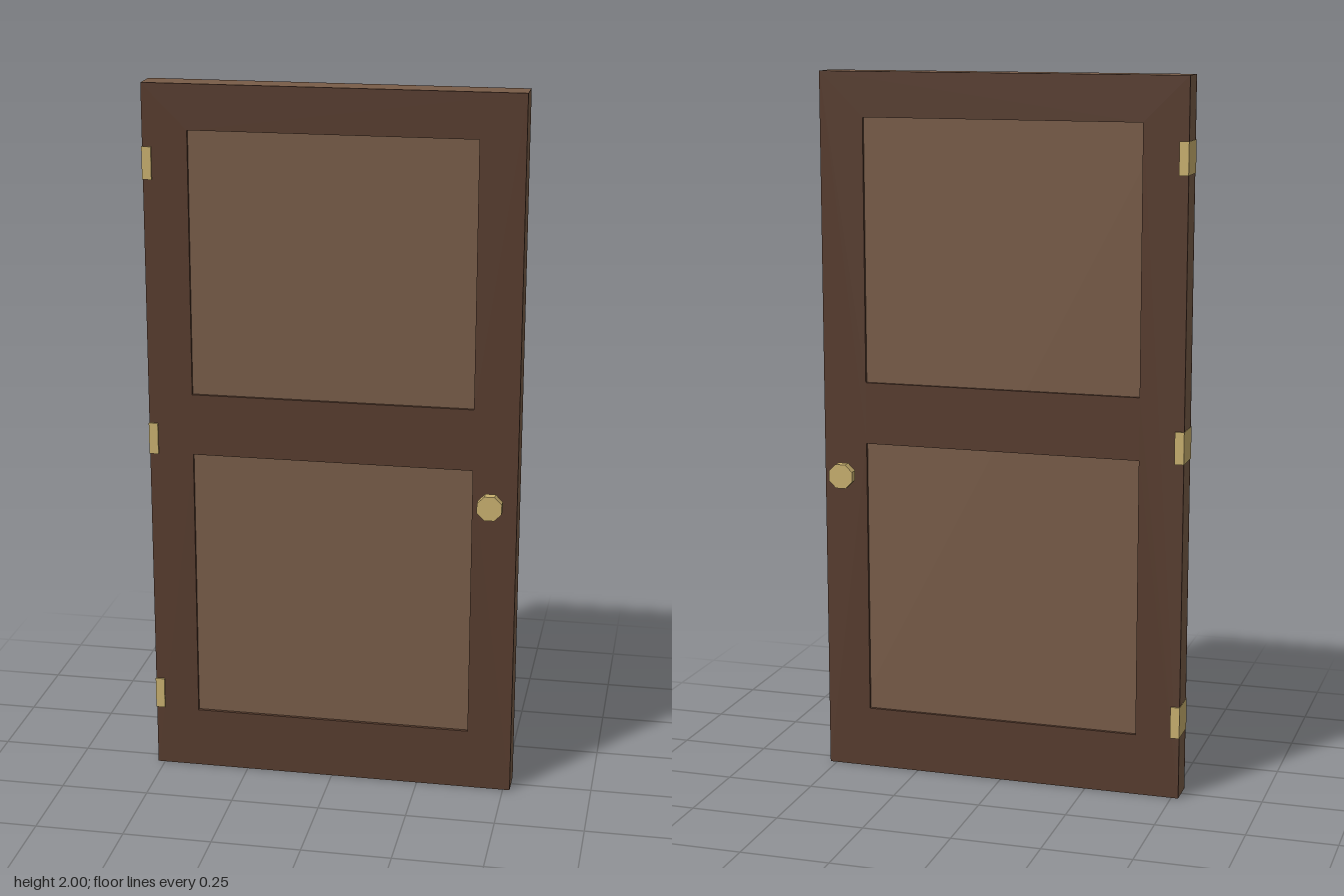
import * as THREE from 'three';

const darkWood = new THREE.MeshStandardMaterial({ name: 'dark wood', color: 0x573c2e });
const lightWood = new THREE.MeshStandardMaterial({ name: 'light wood', color: 0x785c48 });
const brass = new THREE.MeshStandardMaterial({ name: 'brass', color: 0xc9b06f, flatShading: true });

const HALF_W = 0.52, HEIGHT = 2, CORE_Z = 0.033, FACE_Z = 0.042;

// Rectangle outline from two corners
function rect(target, x0, y0, x1, y1) {
  target.moveTo(x0, y0).lineTo(x1, y0).lineTo(x1, y1).lineTo(x0, y1).closePath();
  return target;
}

function addMesh(parent, name, geometry, material, x, y, z) {
  const mesh = new THREE.Mesh(geometry, material);
  mesh.name = name;
  mesh.position.set(x, y, z);
  parent.add(mesh);
  return mesh;
}

// Eight-sided disc lying along z, with a flat on top
function octagon(radius, depth) {
  return new THREE.CylinderGeometry(radius, radius, depth, 8)
    .rotateY(Math.PI / 8)
    .rotateX(Math.PI / 2);
}

export function createModel() {
  const door = new THREE.Group();
  door.name = 'door';

  // Core slab: door edges and recessed panels
  addMesh(door, 'core', new THREE.BoxGeometry(HALF_W * 2, HEIGHT, CORE_Z * 2), lightWood, 0, HEIGHT / 2, 0);

  // Frame with two panel openings, on both faces
  const frame = rect(new THREE.Shape(), -HALF_W, 0, HALF_W, HEIGHT);
  for (const [y0, y1] of [[0.175, 0.96], [1.135, 1.875]]) {
    frame.holes.push(rect(new THREE.Path(), -0.395, y0, 0.395, y1));
  }
  const frameGeometry = new THREE.ExtrudeGeometry(frame, { depth: FACE_Z - CORE_Z, bevelEnabled: false });
  addMesh(door, 'frontFrame', frameGeometry, darkWood, 0, 0, CORE_Z);
  addMesh(door, 'backFrame', frameGeometry, darkWood, 0, 0, -FACE_Z);

  // Hinges wrapped around the hinge edge
  const hingeGeometry = new THREE.BoxGeometry(0.026, 0.09, 0.094);
  for (const y of [0.222, 1.002, 1.783]) {
    addMesh(door, 'hinge', hingeGeometry, brass, -0.508, y, 0);
  }

  // Knob and stem on each side
  for (const side of [1, -1]) {
    const handle = new THREE.Group();
    handle.name = side > 0 ? 'frontKnob' : 'backKnob';
    handle.position.set(0.45, 0.875, 0);
    addMesh(handle, 'stem', octagon(0.0145, 0.05), brass, 0, 0, side * 0.06);
    addMesh(handle, 'knob', octagon(0.037, 0.026), brass, 0, 0, side * 0.095);
    door.add(handle);
  }
  return door;
}
